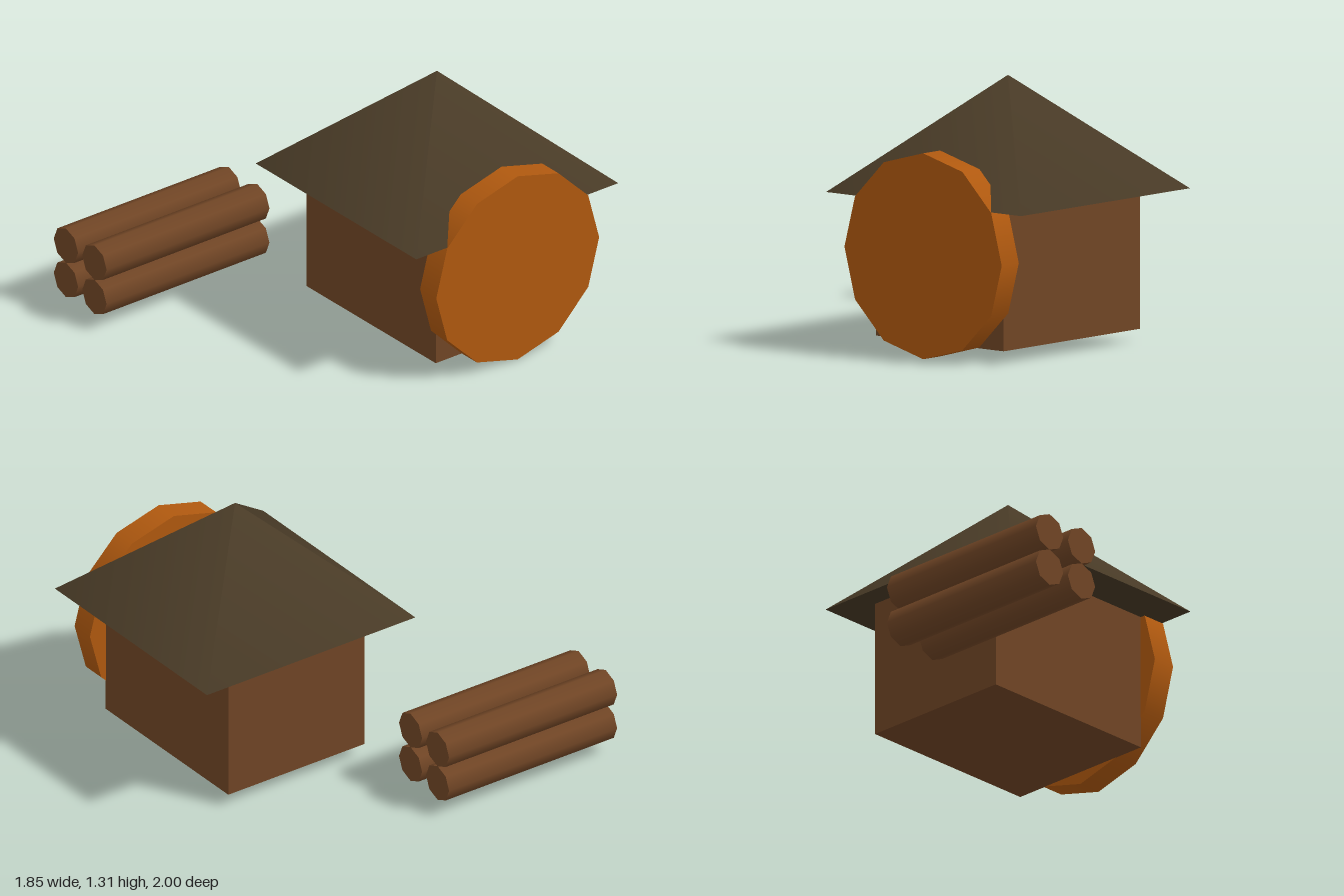
import * as THREE from 'three';

export function createModel() {
  const group = new THREE.Group();
  const material = (name, color) => {
    const m = new THREE.MeshStandardMaterial({ color });
    m.name = name;
    return m;
  };
  const wood = material('brown wood', 0x704525);
  const roofing = material('dark roof', 0x483a26);
  const orange = material('orange wood', 0xb0590f);

  const add = (name, geometry, mat, x, y, z) => {
    const mesh = new THREE.Mesh(geometry, mat);
    mesh.name = name;
    mesh.position.set(x, y, z);
    group.add(mesh);
  };

  const houseX = 0.298, houseZ = -0.38;

  // Cabin walls
  add('walls', new THREE.BoxGeometry(1, 0.69, 0.81), wood, houseX, 0.41, houseZ);

  // Four-sided pyramid roof with overhanging eaves
  const roof = new THREE.ConeGeometry(0.62 * Math.SQRT2, 0.56, 4).rotateY(Math.PI / 4);
  add('roof', roof, roofing, houseX, 1.035, houseZ);

  // Twelve-sided wheel against the side wall
  const wheel = new THREE.CylinderGeometry(0.5, 0.5, 0.125, 12).rotateZ(Math.PI / 2);
  add('wheel', wheel, orange, 0.859, 0.502, houseZ);

  // Stack of four logs
  const log = new THREE.CylinderGeometry(0.094, 0.094, 1, 8).rotateX(Math.PI / 2);
  for (const x of [-0.832, -0.612]) {
    for (const y of [0.159, 0.346]) add('log', log, wood, x, y, 0.5);
  }

  return group;
}
